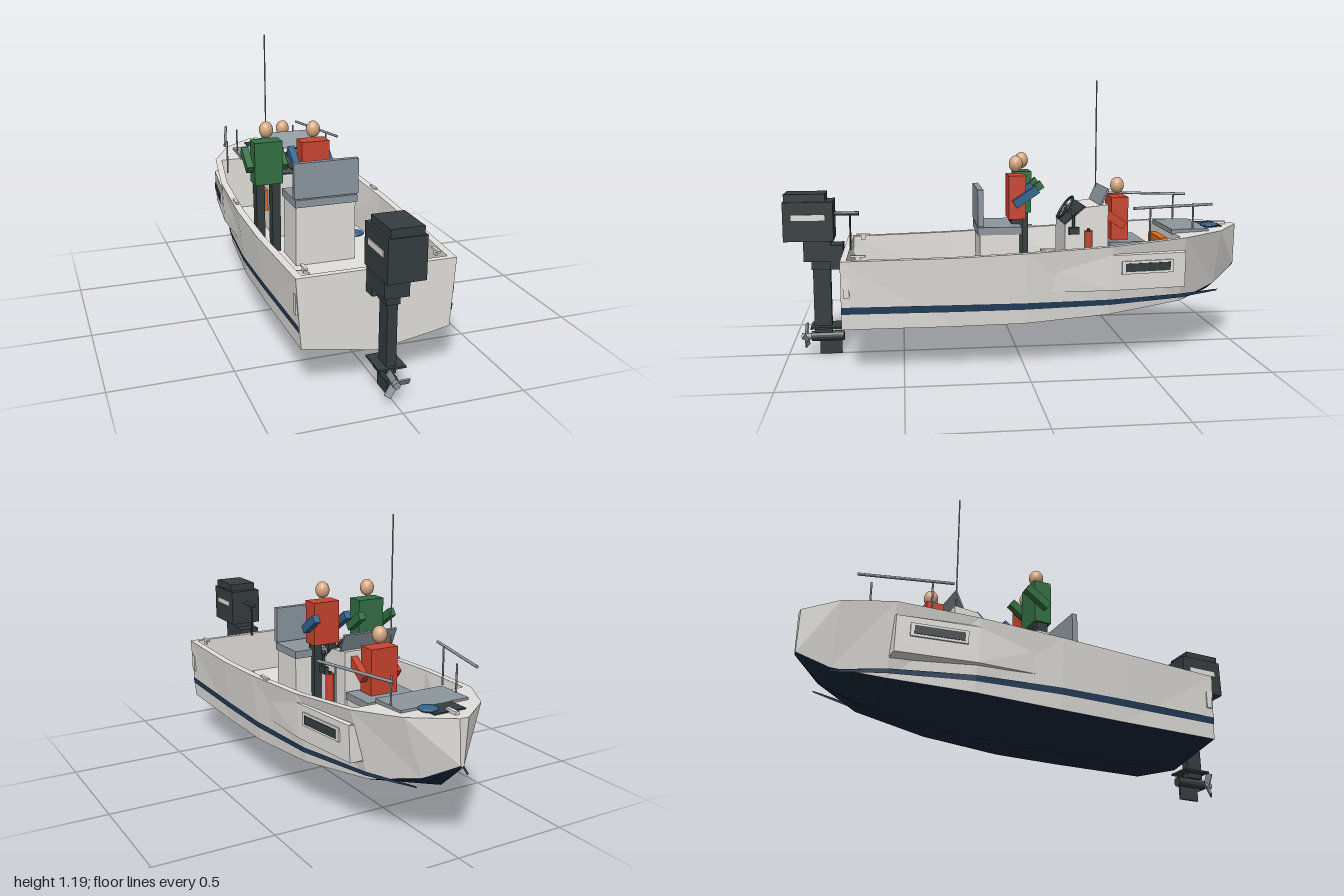
import * as THREE from 'three';

const mat = (name, color) => new THREE.MeshStandardMaterial({ name, color, side: THREE.DoubleSide, flatShading: true });
const M = {
  white: mat('hullWhite', 0xe3e1dd), bottom: mat('bottomNavy', 0x16283a), stripe: mat('stripeNavy', 0x243f5b),
  slate: mat('slateGrey', 0x8d979f), dark: mat('charcoal', 0x353d3f), red: mat('red', 0xca4430),
  green: mat('green', 0x337043), skin: mat('skin', 0xd6a880), orange: mat('orange', 0xdc6a1e), blue: mat('blue', 0x33648c),
};

// hull stations: z, sheer x, sheer y, chine x, chine y, keel y
const STATIONS = [
  [0.75, 0.325, 0.47, 0.305, 0.185, 0.132],
  [0.3, 0.346, 0.478, 0.312, 0.186, 0.128],
  [0, 0.348, 0.49, 0.313, 0.19, 0.128],
  [-0.36, 0.332, 0.508, 0.284, 0.21, 0.143],
  [-0.69, 0.28, 0.53, 0.2, 0.24, 0.185],
  [-0.88, 0.175, 0.54, 0.09, 0.29, 0.245],
  [-1, 0.02, 0.545, 0.008, 0.365, 0.355],
];
const FLOOR = 0.27, WALL = 0.03;

function station(z) {
  let i = 0;
  while (i < STATIONS.length - 2 && z < STATIONS[i + 1][0]) i++;
  const a = STATIONS[i], b = STATIONS[i + 1], t = (z - a[0]) / (b[0] - a[0]);
  const [, sx, sy, cx, cy, ky] = a.map((v, k) => v + (b[k] - v) * t);
  return { z, sx, sy, cx, cy, ky };
}
const sideX = (s, y) => s.cx + (s.sx - s.cx) * (y - s.cy) / (s.sy - s.cy);

export function createModel() {
  const root = new THREE.Group();
  root.name = 'motorBoat';
  const add = (name, geo, m, p = [0, 0, 0], r = [0, 0, 0], parent = root) => {
    const mesh = new THREE.Mesh(geo, m);
    mesh.name = name;
    mesh.position.set(...p);
    mesh.rotation.set(...r);
    parent.add(mesh);
    return mesh;
  };
  // box given by its min and max on each axis
  const box = (name, m, x0, x1, y0, y1, z0, z1) =>
    add(name, new THREE.BoxGeometry(x1 - x0, y1 - y0, z1 - z0), m, [(x0 + x1) / 2, (y0 + y1) / 2, (z0 + z1) / 2]);
  const cyl = (name, m, r, h, p, rot) => add(name, new THREE.CylinderGeometry(r, r, h, 16), m, p, rot);
  const rod = (name, m, a, b, r) => {
    const A = new THREE.Vector3(...a), B = new THREE.Vector3(...b), d = B.clone().sub(A);
    const mesh = cyl(name, m, r, d.length(), A.clone().add(B).multiplyScalar(0.5).toArray());
    mesh.quaternion.setFromUnitVectors(new THREE.Vector3(0, 1, 0), d.normalize());
    return mesh;
  };
  // flat faced skin across rows of points
  const skin = (name, m, rows) => {
    const v = [];
    for (let i = 0; i < rows.length - 1; i++)
      for (let j = 0; j < rows[i].length - 1; j++) {
        const a = rows[i][j], b = rows[i][j + 1], c = rows[i + 1][j + 1], d = rows[i + 1][j];
        v.push(...a, ...b, ...c, ...a, ...c, ...d);
      }
    const g = new THREE.BufferGeometry();
    g.setAttribute('position', new THREE.Float32BufferAttribute(v, 3));
    g.computeVertexNormals();
    return add(name, g, m);
  };

  // hull shell
  const all = STATIONS.map(s => station(s[0]));
  const inner = [0.725, 0.3, 0, -0.36, -0.675].map(station);
  const floorX = s => sideX(s, FLOOR) - 0.008;
  skin('hullBottom', M.bottom, all.map(s => [[s.cx, s.cy, s.z], [0, s.ky, s.z], [-s.cx, s.cy, s.z]]));
  skin('cockpitFloor', M.white, inner.map(s => [[-floorX(s), FLOOR, s.z], [floorX(s), FLOOR, s.z]]));
  for (const k of [1, -1]) {
    skin('hullSide', M.white, all.map(s => [[k * s.sx, s.sy, s.z], [k * s.cx, s.cy, s.z]]));
    skin('innerSide', M.white, inner.map(s => [[k * (s.sx - WALL), s.sy, s.z], [k * floorX(s), FLOOR, s.z]]));
    skin('gunwale', M.white, [all[0], ...inner].map(s => [[k * s.sx, s.sy, s.z], [k * (s.sx - WALL), s.sy, s.z]]));
    // stripe along the side
    skin('sideStripe', M.stripe, [[0.75, 0.316, 0.015], [0.3, 0.326, 0.015], [0, 0.327, 0.014], [-0.36, 0.298, 0.012], [-0.69, 0.214, 0.009], [-0.89, 0.12, 0.004]]
      .map(([z, x, h]) => [[k * x, 0.265 + h, z], [k * (x - 0.004), 0.265 - h, z]]));
    // flared pod with a vent
    const pod = [[0.02, 0.333], [-0.36, 0.326], [-0.69, 0.286]];
    skin('sidePod', M.white, pod.map(([z, x], i) => {
      const s = station(z), xi = sideX(s, 0.32) - 0.01;
      return [[k * (s.sx - 0.01), 0.475, z], [k * x, 0.47, z], [k * (i ? x - 0.006 : xi), 0.32, z], [k * xi, 0.315, z]];
    }));
    const e = station(-0.69);
    skin('podEnd', M.white, [[[k * 0.26, 0.47, -0.69], [k * 0.286, 0.47, -0.69]], [[k * (sideX(e, 0.32) - 0.01), 0.32, -0.69], [k * 0.28, 0.32, -0.69]]]);
    const tilt = k * Math.atan2(0.04, 0.33);
    add('ventFrame', new THREE.BoxGeometry(0.008, 0.055, 0.23), M.white, [k * 0.308, 0.416, -0.52], [0, tilt, 0]);
    add('ventSlot', new THREE.BoxGeometry(0.008, 0.035, 0.2), M.dark, [k * 0.311, 0.416, -0.52], [0, tilt, 0]);
    box('sternPlate', M.white, k * 0.318 - 0.005, k * 0.318 + 0.005, 0.32, 0.4, 0.715, 0.74);
    // bow rails
    rod('railBar', M.slate, [k * 0.285, 0.66, -0.46], [k * 0.19, 0.66, -0.83], 0.006);
    rod('railPost', M.slate, [k * 0.255, 0.5, -0.54], [k * 0.255, 0.66, -0.54], 0.004);
    rod('railPost', M.slate, [k * 0.15, 0.53, -0.76], [k * 0.15, 0.66, -0.76], 0.004);
    // cleats
    for (const [x, y, z] of [[0.27, 0.47, 0.68], [0.33, 0.49, -0.09]]) {
      box('cleatFoot', M.white, k * x - 0.005, k * x + 0.005, y - 0.01, y + 0.01, z - 0.01, z + 0.01);
      box('cleatBar', M.white, k * x - 0.006, k * x + 0.006, y + 0.008, y + 0.016, z - 0.03, z + 0.03);
    }
  }
  // transom, foredeck and bow
  const t = all[0], ti = inner[0], f = inner[4], bow = all[6];
  const wall = s => [[[-s.sx, s.sy, s.z], [0, s.sy, s.z], [s.sx, s.sy, s.z]], [[-s.cx, s.cy, s.z], [0, s.ky, s.z], [s.cx, s.cy, s.z]]];
  skin('transom', M.white, wall(t));
  skin('bowFace', M.white, wall(bow));
  skin('transomTop', M.white, [t, ti].map(s => [[-s.sx, s.sy, s.z], [s.sx, s.sy, s.z]]));
  for (const [name, s] of [['transomInside', ti], ['foreBulkhead', f]])
    skin(name, M.white, [[[WALL - s.sx, s.sy, s.z], [s.sx - WALL, s.sy, s.z]], [[-floorX(s), FLOOR, s.z], [floorX(s), FLOOR, s.z]]]);
  skin('foredeck', M.white, [f, all[4], all[5], bow].map(s => [[-s.sx, s.sy, s.z], [s.sx, s.sy, s.z]]));
  box('bowCushion', M.slate, -0.155, 0.155, 0.525, 0.547, -0.83, -0.665);
  box('anchorLocker', M.dark, -0.07, 0.07, 0.535, 0.547, -0.92, -0.83);
  box('bowRoller', M.white, -0.008, 0.008, 0.54, 0.556, -0.96, -0.9);
  box('foreLifeVest', M.orange, -0.095, 0.095, 0.31, 0.5, -0.665, -0.63);

  // helm seat
  box('helmSeatBox', M.white, -0.135, 0.135, FLOOR, 0.535, 0, 0.17);
  box('helmSeatCushion', M.slate, -0.14, 0.14, 0.535, 0.568, -0.01, 0.18);
  box('helmSeatBack', M.slate, -0.145, 0.145, 0.573, 0.73, 0.155, 0.18);
  // forward seat
  box('foreSeatBox', M.white, -0.11, 0.11, FLOOR, 0.46, -0.55, -0.39);
  box('foreSeatCushion', M.slate, -0.12, 0.12, 0.46, 0.49, -0.56, -0.4);

  // console: side profile extruded across the boat
  const profile = new THREE.Shape([[-0.2, FLOOR], [-0.2, 0.57], [-0.29, 0.645], [-0.39, 0.655], [-0.39, FLOOR]].map(p => new THREE.Vector2(-p[0], p[1])));
  add('console', new THREE.ExtrudeGeometry(profile, { depth: 0.24, bevelEnabled: false }), M.white, [-0.12, 0, 0], [0, Math.PI / 2, 0]);
  const slope = Math.atan2(0.075, 0.09);
  add('dashPanel', new THREE.BoxGeometry(0.235, 0.008, 0.118), M.dark, [0, 0.61, -0.245], [slope, 0, 0]);
  add('windshield', new THREE.BoxGeometry(0.25, 0.08, 0.008), M.slate, [0, 0.688, -0.373], [-0.42, 0, 0]);
  const wheel = new THREE.Group();
  wheel.name = 'steeringWheel';
  wheel.position.set(0, 0.632, -0.222);
  wheel.rotation.x = -0.62;
  root.add(wheel);
  add('wheelRim', new THREE.TorusGeometry(0.055, 0.006, 6, 18), M.dark, undefined, undefined, wheel);
  for (let i = 0; i < 3; i++) add('wheelSpoke', new THREE.BoxGeometry(0.008, 0.055, 0.006), M.slate,
    [Math.sin(i * 2.094) * 0.027, -Math.cos(i * 2.094) * 0.027, 0], [0, 0, i * 2.094], wheel);
  rod('wheelColumn', M.dark, [0, 0.632, -0.222], [0, 0.6, -0.26], 0.01);
  box('throttleBase', M.dark, 0.118, 0.14, 0.53, 0.56, -0.26, -0.215);
  rod('throttleLever', M.dark, [0.13, 0.55, -0.235], [0.13, 0.615, -0.235], 0.006);
  add('throttleKnob', new THREE.SphereGeometry(0.011, 8, 6), M.dark, [0.13, 0.618, -0.235]);
  cyl('fireExtinguisher', M.red, 0.017, 0.12, [0.138, 0.485, -0.3]);
  cyl('extinguisherCap', M.dark, 0.007, 0.01, [0.138, 0.549, -0.3]);
  box('sideLifeVest', M.orange, -0.145, -0.121, 0.37, 0.47, -0.4, -0.3);
  cyl('antenna', M.slate, 0.003, 0.6, [-0.105, 0.89, -0.38]);

  // crew; face is -1 toward the bow, +1 toward the stern
  const person = (name, x, z, base, coat, sleeve, face, width, legs) => {
    const g = new THREE.Group();
    g.name = name;
    g.position.set(x, base, z);
    root.add(g);
    add('torso', new THREE.BoxGeometry(width, 0.19, 0.076), coat, [0, 0.095, 0], undefined, g);
    add('head', new THREE.IcosahedronGeometry(0.031, 2), M.skin, [0, 0.237, 0], undefined, g).scale.y = 1.2;
    for (const k of [1, -1]) {
      add('arm', new THREE.BoxGeometry(0.03, 0.036, 0.12), sleeve, [k * (width / 2 + 0.015), 0.1, face * 0.035], [-face * 0.6, 0, 0], g);
      if (legs) add('leg', new THREE.BoxGeometry(0.038, base - FLOOR, 0.05), M.dark, [k * 0.036, (FLOOR - base) / 2, 0], undefined, g);
    }
  };
  person('helmsman', 0, 0, 0.59, M.red, M.blue, -1, 0.125, true);
  person('standingPassenger', -0.198, -0.05, 0.59, M.green, M.green, -1, 0.126, true);
  person('seatedPassenger', 0, -0.455, 0.49, M.red, M.red, 1, 0.125, false);

  // loose gear
  for (const [x, y, z] of [[0.25, FLOOR, -0.11], [0.195, FLOOR, 0.655], [0.06, 0.543, -0.865]])
    add('ropeBundle', new THREE.IcosahedronGeometry(0.039, 2), M.blue, [x, y + 0.007, z]).scale.y = 0.3;
  box('fuelTank', M.red, 0.12, 0.23, FLOOR, 0.33, 0.48, 0.64);
  cyl('fuelCap', M.dark, 0.012, 0.016, [0.175, 0.337, 0.525]);
  rod('fuelHose', M.dark, [0.025, 0.285, 0.653], [0.18, 0.285, 0.653], 0.004);
  add('primerBulb', new THREE.SphereGeometry(0.012, 10, 8), M.dark, [0.097, 0.285, 0.653]).scale.x = 2;
  add('bucket', new THREE.LatheGeometry([[0, 0.006], [0.036, 0.006], [0.04, 0.075], [0.046, 0.075], [0.04, 0]].map(p => new THREE.Vector2(...p)), 16), M.white, [-0.207, FLOOR, 0.43]);

  // outboard motor
  box('cowling', M.dark, -0.075, 0.075, 0.512, 0.68, 0.79, 1);
  box('cowlingCap', M.dark, -0.065, 0.065, 0.68, 0.713, 0.822, 0.995);
  for (const k of [1, -1]) box('cowlingStripe', M.white, k * 0.076 - 0.003, k * 0.076 + 0.003, 0.602, 0.626, 0.825, 0.965);
  box('midCase', M.dark, -0.05, 0.05, 0.42, 0.512, 0.805, 0.92);
  box('midCaseLower', M.dark, -0.027, 0.027, 0.38, 0.42, 0.805, 0.89);
  box('driveLeg', M.dark, -0.02, 0.02, 0.1, 0.39, 0.81, 0.885);
  box('clampBracket', M.dark, -0.05, 0.05, 0.385, 0.49, 0.752, 0.808);
  box('cavitationPlate', M.dark, -0.055, 0.055, 0.123, 0.131, 0.77, 0.9);
  cyl('gearCase', M.dark, 0.022, 0.14, [0, 0.08, 0.83], [Math.PI / 2, 0, 0]);
  box('skeg', M.dark, -0.005, 0.005, 0, 0.065, 0.77, 0.865);
  cyl('propellerHub', M.slate, 0.014, 0.05, [0, 0.08, 0.918], [Math.PI / 2, 0, 0]);
  for (let i = 0; i < 3; i++) {
    const blade = new THREE.Group();
    blade.name = 'propellerBlade';
    blade.position.set(0, 0.08, 0.922);
    blade.rotation.z = i * Math.PI * 2 / 3;
    root.add(blade);
    add('blade', new THREE.BoxGeometry(0.05, 0.028, 0.006), M.slate, [0.034, 0, 0], [0.5, 0, 0], blade);
  }
  rod('tiller', M.dark, [0, 0.62, 0.8], [0, 0.62, 0.685], 0.009);
  rod('tillerSupport', M.dark, [0, 0.46, 0.723], [0, 0.62, 0.723], 0.004);
  return root;
}
